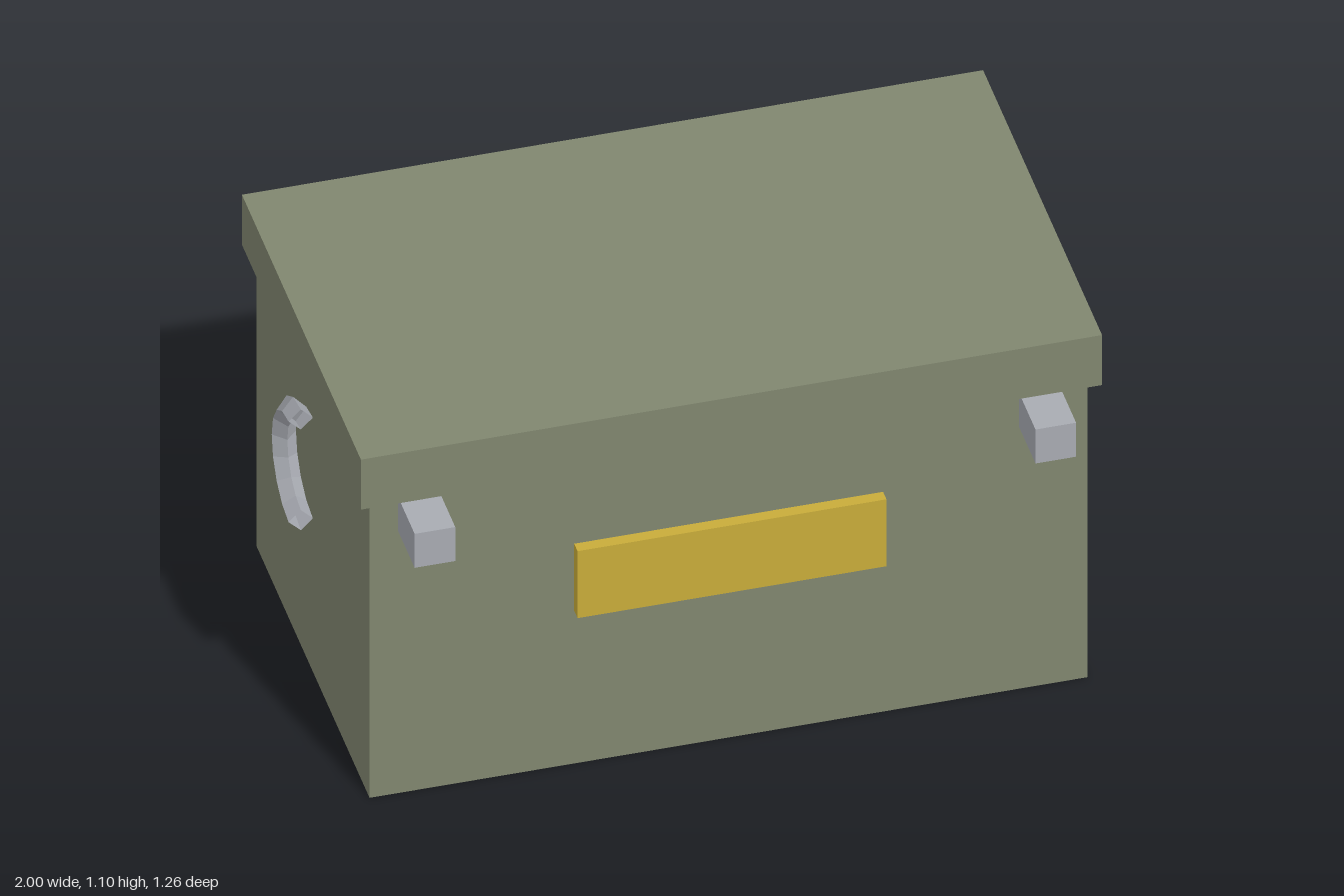
import * as THREE from 'three';

const material = (name, color, extra = {}) => {
  const m = new THREE.MeshStandardMaterial({ color, flatShading: true, ...extra });
  m.name = name;
  return m;
};

export function createModel() {
  const olive = material('olive paint', 0x80866f);
  const steel = material('steel', 0xa8abb2, { side: THREE.DoubleSide });
  const brass = material('brass yellow', 0xc8ac3a);

  const group = new THREE.Group();
  group.name = 'storageCrate';

  const add = (name, geometry, mat) => {
    const mesh = new THREE.Mesh(geometry, mat);
    mesh.name = name;
    group.add(mesh);
    return mesh;
  };

  // Box given by its lowest and highest corners
  const box = (name, mat, [x0, y0, z0], [x1, y1, z1]) =>
    add(name, new THREE.BoxGeometry(x1 - x0, y1 - y0, z1 - z0), mat)
      .position.set((x0 + x1) / 2, (y0 + y1) / 2, (z0 + z1) / 2);

  // Crate body, overhanging lid and front label plate
  box('body', olive, [-0.937, 0, -0.603], [0.937, 0.943, 0.473]);
  box('lid', olive, [-0.967, 0.943, -0.63], [0.967, 1.102, 0.5]);
  box('labelPlate', brass, [-0.403, 0.486, 0.473], [0.403, 0.699, 0.505]);

  for (const [side, s] of [['left', 1], ['right', -1]]) {
    // Latch block under the lid rim
    const x = s * 0.81;
    box(side + 'Latch', steel, [x - 0.053, 0.835, 0.473], [x + 0.053, 0.943, 0.632]);

    // Half-ring handle with a diamond section, bowed to the rear
    const ring = new THREE.TorusGeometry(0.16, 0.032, 4, 8, Math.PI);
    ring.rotateZ(-Math.PI / 2);
    ring.rotateY(Math.PI / 2);
    add(side + 'Handle', ring, steel).position.set(s * 0.968, 0.647, -0.067);
  }

  return group;
}
